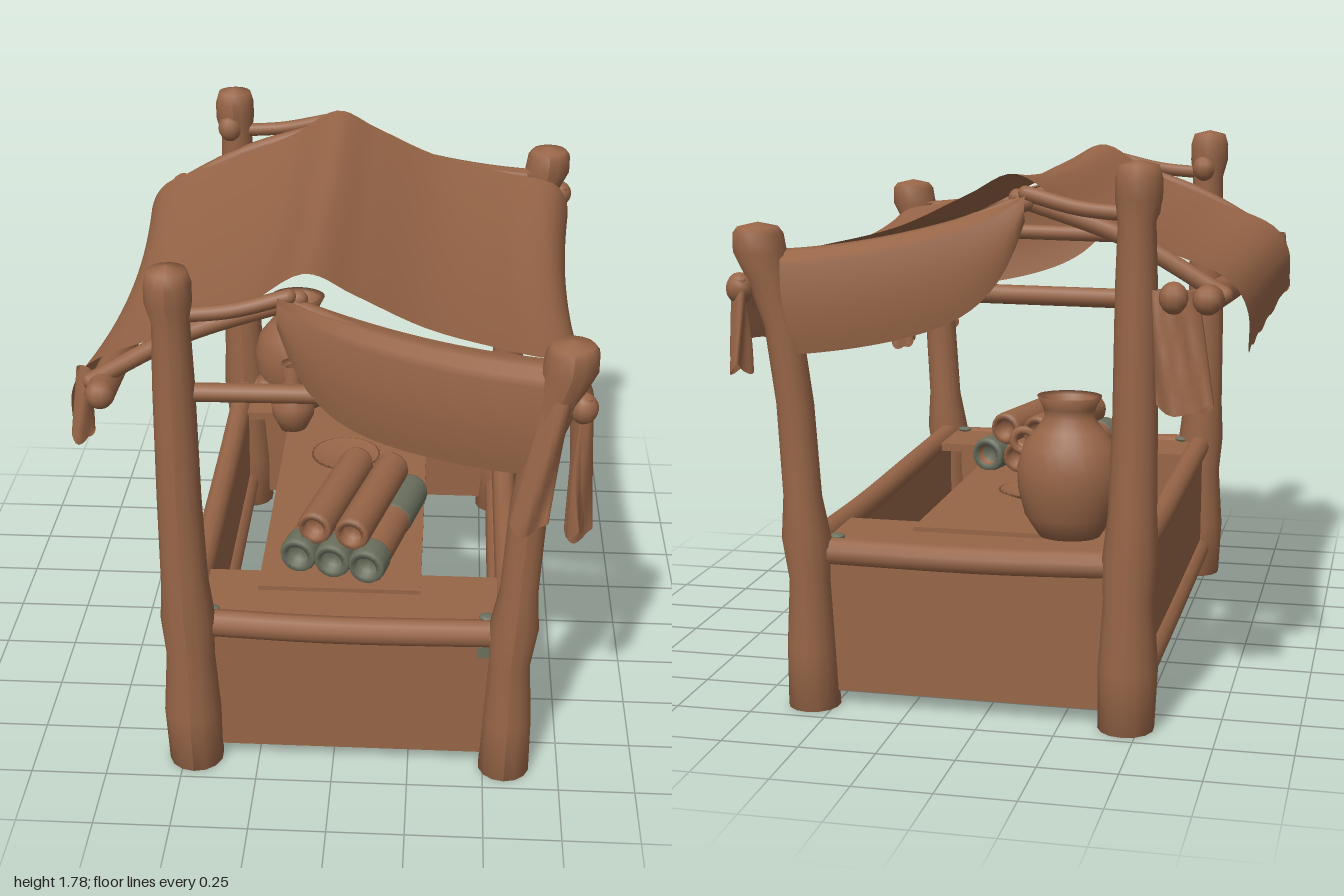
import * as THREE from 'three';
import { ParametricGeometry } from 'three/addons/geometries/ParametricGeometry.js';

const V = (x, y, z) => new THREE.Vector3(x, y, z);

export function createModel() {
  const root = new THREE.Group();
  root.name = 'marketStall';
  const clay = new THREE.MeshStandardMaterial({ color: 0x976547, side: THREE.DoubleSide });
  clay.name = 'warmBrown';
  const green = new THREE.MeshStandardMaterial({ color: 0x6a6f5d, side: THREE.DoubleSide });
  green.name = 'greyGreen';

  const add = (name, geo, mat = clay, parent = root) => {
    const m = new THREE.Mesh(geo, mat);
    m.name = name;
    parent.add(m);
    return m;
  };
  const box = (name, w, h, d, x, y, z) => add(name, new THREE.BoxGeometry(w, h, d)).position.set(x, y, z);

  // round beam through points, with closed ends
  const pole = (name, pts, r) => {
    const curve = new THREE.CatmullRomCurve3(pts);
    add(name, new THREE.TubeGeometry(curve, 24, r, 10));
    for (const p of [pts[0], pts[pts.length - 1]]) {
      add(name + 'End', new THREE.SphereGeometry(r, 10, 8)).position.copy(p);
    }
  };

  // gnarled upright: rows of [y, radius, centre x]
  const post = (name, rows, z) => {
    const pts = [new THREE.Vector2(0, rows[0][0])];
    rows.forEach(([y, r]) => pts.push(new THREE.Vector2(r, y)));
    pts.push(new THREE.Vector2(0, rows[rows.length - 1][0] + 0.015));
    const geo = new THREE.LatheGeometry(pts, 14);
    const p = geo.attributes.position;
    for (let i = 0; i < p.count; i++) {
      const y = p.getY(i);
      let k = 0;
      while (k < rows.length - 2 && rows[k + 1][0] < y) k++;
      const t = THREE.MathUtils.clamp((y - rows[k][0]) / (rows[k + 1][0] - rows[k][0]), 0, 1);
      p.setX(i, p.getX(i) + THREE.MathUtils.lerp(rows[k][2], rows[k + 1][2], t));
    }
    geo.computeVertexNormals();
    add(name, geo).position.z = z;
  };
  const tall = [[0, 0.09, -0.46], [0.2, 0.095, -0.465], [0.42, 0.08, -0.465], [0.56, 0.088, -0.47],
    [0.7, 0.076, -0.475], [1.0, 0.07, -0.48], [1.4, 0.065, -0.48], [1.6, 0.058, -0.48], [1.67, 0.072, -0.485], [1.73, 0.072, -0.485], [1.77, 0.06, -0.485]];
  const short = [[0, 0.085, 0.57], [0.2, 0.08, 0.575], [0.42, 0.068, 0.575], [0.56, 0.08, 0.585],
    [0.7, 0.062, 0.595], [1.0, 0.06, 0.612], [1.25, 0.06, 0.645], [1.4, 0.07, 0.69], [1.48, 0.085, 0.715], [1.54, 0.08, 0.72], [1.56, 0.065, 0.72]];
  for (const s of [1, -1]) {
    post('tallPost', tall, s * 0.88);
    post('shortPost', short, s * 0.88);

    // end rails, panels and roof poles
    pole('endRail', [V(-0.46, 0.525, s * 0.86), V(0, 0.515, s * 0.87), V(0.57, 0.515, s * 0.86)], 0.045);
    box('endPanel', 0.98, 0.43, 0.035, 0.05, 0.265, s * 0.86);
    pole('crossPole', [V(-0.46, 1.365, s * 0.87), V(0.1, 1.37, s * 0.87), V(0.67, 1.38, s * 0.87)], 0.03);
    pole('leftRafter', [V(-0.74, 1.38, s * 0.84), V(-0.45, 1.54, s * 0.83), V(-0.1, 1.66, s * 0.82)], 0.028);
    pole('ridgeTie', [V(-0.47, 1.62, s * 0.87), V(-0.3, 1.635, s * 0.86), V(-0.13, 1.675, s * 0.84)], 0.024);
    pole('rightRafter', [V(-0.14, 1.65, s * 0.83), V(0.25, 1.51, s * 0.85), V(0.68, 1.45, s * 0.87)], 0.028);
    box('counterEnd', 0.98, 0.03, 0.28, 0.05, 0.535, s * 0.72);
    // small green binding patches at the rail corners
    for (const x of [-0.4, 0.5]) {
      const patch = add('cornerBinding', new THREE.SphereGeometry(0.028, 10, 8), green);
      patch.scale.set(1, 0.35, 0.8);
      patch.position.set(x, 0.557, s * 0.83);
    }
  }
  // green stain under the front rail
  box('panelPatch', 0.04, 0.04, 0.006, 0.49, 0.452, 0.879);
  root.children[root.children.length - 1].material = green;

  // long side rails and recessed panels
  for (const x of [-0.47, 0.57]) {
    pole('sideRail', [V(x, 0.54, -0.88), V(x, 0.525, -0.3), V(x, 0.53, 0.3), V(x, 0.535, 0.88)], 0.042);
    pole('lowerRail', [V(x, 0.11, -0.86), V(x, 0.105, 0), V(x, 0.11, 0.86)], 0.048);
    box('sidePanel', 0.03, 0.4, 1.62, x, 0.31, 0);
  }
  box('counterTop', 0.54, 0.03, 1.4, 0.01, 0.55, 0);
  pole('leftEavePole', [V(-0.7, 1.375, -0.92), V(-0.7, 1.325, 0), V(-0.7, 1.375, 0.92)], 0.046);
  pole('rightEavePole', [V(0.7, 1.4, -0.9), V(0.69, 1.35, 0), V(0.7, 1.4, 0.9)], 0.036);

  // sagging roof cloth with a hanging edge on both sides
  const profile = new THREE.CatmullRomCurve3([
    V(-0.79, 1.2, 0), V(-0.785, 1.33, 0), V(-0.73, 1.42, 0), V(-0.5, 1.52, 0), V(-0.25, 1.63, 0), V(-0.08, 1.73, 0),
    V(0.06, 1.665, 0), V(0.28, 1.56, 0), V(0.55, 1.49, 0), V(0.72, 1.45, 0), V(0.77, 1.37, 0), V(0.765, 1.19, 0)]);
  add('roofCloth', new ParametricGeometry((u, v, out) => {
    const p = profile.getPoint(u);
    const z = (v * 2 - 1) * (0.79 + 0.02 * Math.abs(p.x));
    const sag = 1 - (v * 2 - 1) ** 2;
    const hem = u < 0.02 || u > 0.98 ? 0.006 * Math.sin(v * 31) - 0.025 * sag : 0;
    out.set(p.x * (1.03 - 0.05 * sag), p.y - 0.04 * sag + hem, z);
  }, 60, 32));

  // gable drapes folded over the right rafters, hanging outside
  const gable = (name, s, x0, drop) => add(name, new ParametricGeometry((u, v, out) => {
    const x = x0 + (0.66 - x0) * u;
    const t = (x + 0.15) / 0.79;
    const top = 1.685 - 0.31 * t + 0.125 * t * t;
    const hang = drop * (0.25 + 0.75 * (1 - Math.exp(-u * 9)));
    const over = Math.min(1, v / 0.2);
    out.set(x, top - hang * Math.max(0, v - 0.1) / 0.9 - 0.015 * (1 - over),
      s * (0.8 + 0.08 * over + 0.03 * Math.sin(v * 2.6) + 0.02 * t));
  }, 28, 15));
  gable('frontDrape', 1, -0.16, 0.37);
  gable('backDrape', -1, -0.14, 0.34);

  // loose rags: tapered folded strips between a top and a bottom point
  const rag = (name, a, b, w0, w1, alongZ) => add(name, new ParametricGeometry((u, v, out) => {
    const ang = u * Math.PI * 2;
    const w = THREE.MathUtils.lerp(w0, w1, v) / 2;
    const wide = Math.cos(ang) * w;
    const thin = Math.sin(ang) * 0.022 + 0.012 * Math.sin(wide * 60 + v * 3);
    out.lerpVectors(a, b, v);
    out.x += alongZ ? thin : wide;
    out.z += alongZ ? wide : thin;
    out.y += v * 0.02 * Math.sin(ang * 2 + 1);
  }, 20, 8));
  rag('frontPostRag', V(0.76, 1.4, 0.9), V(0.77, 0.9, 0.86), 0.05, 0.09, false);
  rag('frontPostRagWide', V(0.75, 1.38, 0.87), V(0.76, 0.93, 0.88), 0.08, 0.12, true);
  rag('frontOuterRag', V(0.68, 1.4, 0.93), V(0.61, 0.97, 0.95), 0.08, 0.12, false);
  rag('backPostRag', V(0.77, 1.4, -0.92), V(0.76, 1.12, -0.95), 0.07, 0.09, true);
  rag('backLeftRag', V(-0.6, 1.4, -0.9), V(-0.64, 1.05, -0.95), 0.14, 0.18, false);
  rag('frontLeftRag', V(-0.77, 1.4, 0.8), V(-0.78, 1.18, 0.82), 0.05, 0.07, false);
  // knots where cloth is tied to the posts
  for (const [x, y, z] of [[0.76, 1.36, 0.9], [0.77, 1.37, -0.92], [-0.5, 1.64, -0.83], [-0.47, 1.64, 0.83], [-0.6, 1.38, -0.93]]) {
    const knot = add('clothKnot', new THREE.SphereGeometry(0.05, 10, 8));
    knot.scale.set(0.9, 1, 0.9);
    knot.position.set(x, y, z);
  }

  // pottery turned from [radius, height] profiles
  const pot = (name, rows, x, z) => {
    const m = add(name, new THREE.LatheGeometry(rows.map(([r, y]) => new THREE.Vector2(r, y)), 24));
    m.position.set(x, 0.56, z);
    return m;
  };
  const jar = pot('largeJar', [[0, 0], [0.1, 0], [0.145, 0.07], [0.168, 0.16], [0.17, 0.23], [0.15, 0.3], [0.11, 0.35], [0.08, 0.39], [0.085, 0.42], [0.105, 0.46], [0.08, 0.45], [0.06, 0.39]], -0.235, -0.67);
  jar.scale.z = 0.82;
  const handle = add('jarHandle', new THREE.TorusGeometry(0.035, 0.014, 8, 14));
  handle.position.set(-0.085, 0.865, -0.67);
  pot('smallBottle', [[0, 0], [0.05, 0], [0.08, 0.06], [0.085, 0.11], [0.055, 0.17], [0.033, 0.21], [0.045, 0.275], [0.025, 0.26]], -0.24, -0.45);
  pot('shallowPlate', [[0, 0.005], [0.08, 0.005], [0.13, 0.025], [0.12, 0.028], [0.07, 0.012], [0, 0.012]], -0.02, -0.2);
  const jug = pot('lyingJug', [[0, 0], [0.04, 0.005], [0.055, 0.06], [0.03, 0.12], [0.04, 0.15]], -0.26, -0.6);
  jug.rotation.z = 1.2;
  jug.position.y = 0.62;

  // stacked cloth rolls with hollow ends and green wrapped bands
  const stack = new THREE.Group();
  stack.name = 'clothRolls';
  stack.position.set(0.05, 0, 0.35);
  stack.rotation.y = -0.25;
  root.add(stack);
  const roll = (name, x, y, r, len, z, mat) => {
    const h = len / 2;
    const pts = [[0, -h + 0.04], [r * 0.55, -h + 0.04], [r * 0.6, -h], [r * 0.9, -h], [r, -h + 0.015],
      [r, h - 0.015], [r * 0.9, h], [r * 0.6, h], [r * 0.55, h - 0.04], [0, h - 0.04]];
    const m = add(name, new THREE.LatheGeometry(pts.map((p) => new THREE.Vector2(p[0], p[1])), 16), mat, stack);
    m.rotation.x = Math.PI / 2;
    m.position.set(x, y, z);
  };
  for (const x of [-0.12, 0, 0.12]) {
    roll('lowerRoll', x, 0.622, 0.06, 0.52, 0, clay);
    roll('greenFrontBand', x, 0.622, 0.064, 0.1, 0.24, green);
  }
  roll('greenBackBand', 0.12, 0.622, 0.064, 0.24, -0.15, green);
  for (const x of [-0.07, 0.06]) roll('upperRoll', x, 0.72, 0.06, 0.5, 0.01, clay);

  return root;
}
